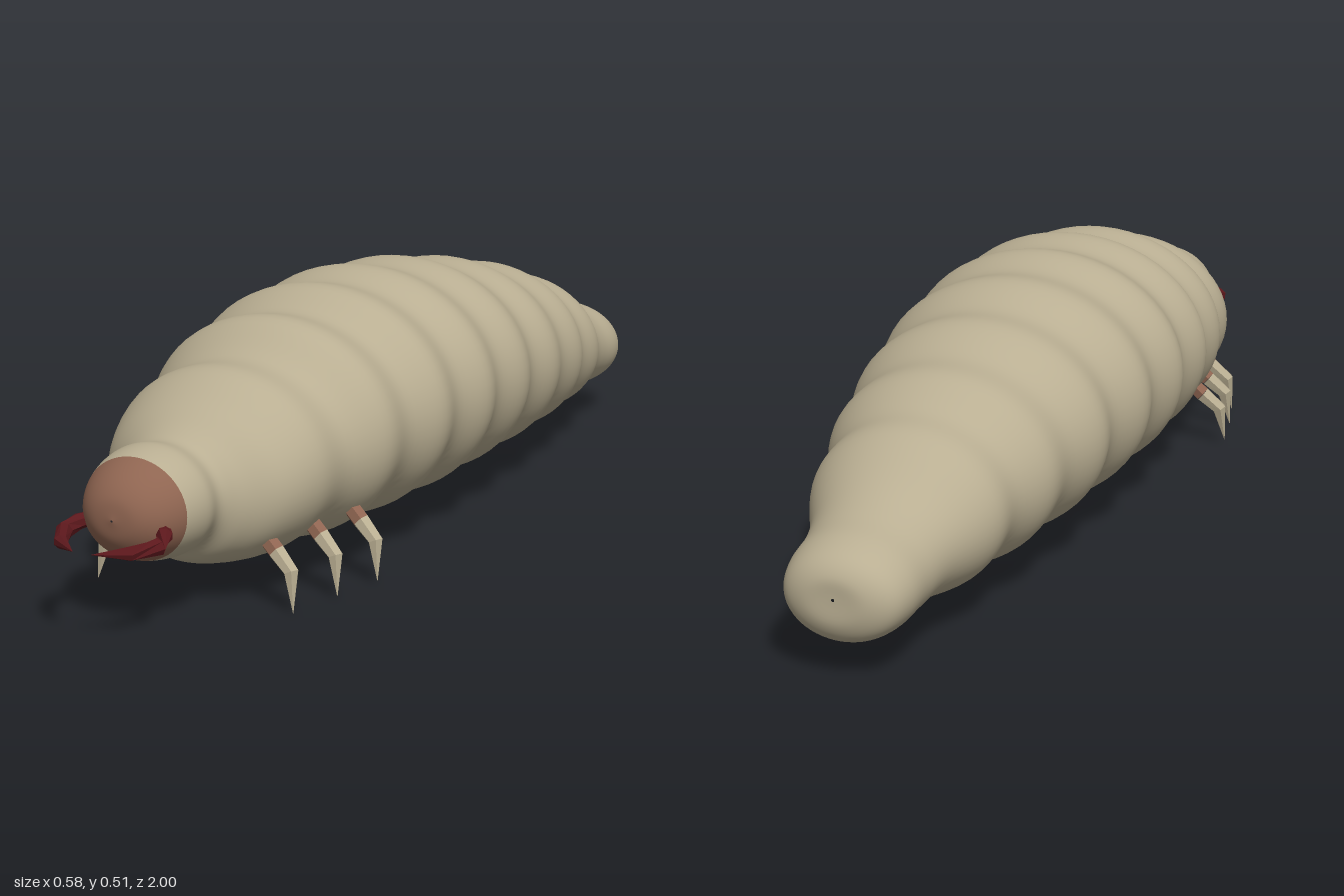
import * as THREE from 'three';

const skin = new THREE.MeshStandardMaterial({ color: 0xb9ae92 });
skin.name = 'pale skin';
const brown = new THREE.MeshStandardMaterial({ color: 0x8f6551 });
brown.name = 'head brown';
const darkRed = new THREE.MeshStandardMaterial({ color: 0x5c181c });
darkRed.name = 'mandible red';

// Segmented body outline from tail to head: z, half width, top, belly
const outline = [
  [-1.0, 0.003, 0.163, 0.157], [-0.998, 0.06, 0.2, 0.11], [-0.975, 0.102, 0.23, 0.075],
  [-0.93, 0.12, 0.25, 0.064], [-0.86, 0.125, 0.266, 0.066], [-0.79, 0.14, 0.295, 0.071],
  [-0.69, 0.184, 0.357, 0.056], [-0.605, 0.189, 0.375, 0.066],
  [-0.52, 0.224, 0.416, 0.05], [-0.43, 0.226, 0.425, 0.062],
  [-0.335, 0.257, 0.461, 0.047], [-0.245, 0.247, 0.463, 0.061],
  [-0.15, 0.279, 0.494, 0.045], [-0.06, 0.265, 0.488, 0.06],
  [0.03, 0.29, 0.507, 0.043], [0.115, 0.267, 0.488, 0.06],
  [0.205, 0.285, 0.499, 0.045], [0.29, 0.255, 0.463, 0.062],
  [0.38, 0.262, 0.468, 0.047], [0.47, 0.224, 0.413, 0.062],
  [0.56, 0.222, 0.408, 0.054], [0.64, 0.192, 0.365, 0.063], [0.695, 0.142, 0.328, 0.08],
  [0.73, 0.112, 0.313, 0.112], [0.78, 0.12, 0.32, 0.11], [0.833, 0.108, 0.308, 0.119],
  [0.875, 0.083, 0.282, 0.138], [0.9, 0.048, 0.25, 0.17], [0.908, 0.002, 0.212, 0.208],
];
const HEAD_ROW = 25;
const STEPS = 6;

// Skin a list of closed rings; each ring runs anticlockwise about the travel direction
function loft(rings) {
  const n = rings[0].length, index = [];
  for (let r = 0; r < rings.length - 1; r++) {
    for (let i = 0; i < n; i++) {
      const a = r * n + i, b = r * n + (i + 1) % n;
      index.push(a, b, a + n, b, b + n, a + n);
    }
  }
  const geometry = new THREE.BufferGeometry().setFromPoints(rings.flat());
  geometry.setIndex(index);
  geometry.computeVertexNormals();
  return geometry;
}

// Faceted tapering limb through a few points
function limb(points, radii, sides) {
  const up = new THREE.Vector3(0, 0.2, 1);
  const rings = points.map((p, k) => {
    const dir = points[Math.min(k + 1, points.length - 1)].clone()
      .sub(points[Math.max(k - 1, 0)]).normalize();
    const u = new THREE.Vector3().crossVectors(dir, up).normalize();
    const v = new THREE.Vector3().crossVectors(dir, u);
    return Array.from({ length: sides }, (_, i) => {
      const a = i / sides * Math.PI * 2;
      return p.clone().addScaledVector(u, Math.cos(a) * radii[k])
        .addScaledVector(v, Math.sin(a) * radii[k]);
    });
  });
  const geometry = loft(rings).toNonIndexed();
  geometry.computeVertexNormals();
  return geometry;
}

function bodyRings() {
  const curve = (pick) => new THREE.CatmullRomCurve3(outline.map(pick), false, 'catmullrom', 0.5);
  const upper = curve(([z, w, top]) => new THREE.Vector3(w, top, z));
  const lower = curve(([z, w, , low]) => new THREE.Vector3(w, low, z));
  const count = (outline.length - 1) * STEPS, sides = 56;
  return Array.from({ length: count + 1 }, (_, k) => {
    const a = upper.getPoint(k / count), b = lower.getPoint(k / count);
    return Array.from({ length: sides }, (_, i) => {
      const t = i / sides * Math.PI * 2;
      return new THREE.Vector3(Math.cos(t) * a.x,
        (a.y + b.y) / 2 + Math.sin(t) * (a.y - b.y) / 2, a.z);
    });
  });
}

export function createModel() {
  const group = new THREE.Group();
  const add = (name, geometry, material) => {
    const mesh = new THREE.Mesh(geometry, material);
    mesh.name = name;
    group.add(mesh);
  };

  // Body and the face at its front end
  const rings = bodyRings();
  add('segmentedBody', loft(rings.slice(0, HEAD_ROW * STEPS + 1)), skin);
  add('head', loft(rings.slice(HEAD_ROW * STEPS)), brown);

  // Hip x, y and z of the three leg pairs
  const hips = [['front', 0.155, 0.117, 0.63], ['middle', 0.183, 0.122, 0.52], ['rear', 0.205, 0.124, 0.41]];
  for (const side of [1, -1]) {
    const label = side > 0 ? 'Left' : 'Right';
    const at = (x, y, z) => new THREE.Vector3(side * x, y, z);

    for (const [name, x, y, z] of hips) {
      const collar = at(x + 0.012, y - 0.011, z + 0.002);
      add(name + label + 'Hip', limb([at(x - 0.02, y + 0.018, z - 0.003), collar], [0.017, 0.017], 6), brown);
      add(name + label + 'Leg', limb(
        [collar, at(x + 0.047, y - 0.042, z + 0.01), at(x + 0.057, y - 0.115, z + 0.021)],
        [0.017, 0.015, 0.0005], 6), skin);
    }

    // Hooked jaw curving inward to a point
    add('mandible' + label, limb(
      [at(0.07, 0.195, 0.85), at(0.09, 0.19, 0.878), at(0.099, 0.18, 0.91),
        at(0.073, 0.176, 0.958), at(0.02, 0.177, 0.998)],
      [0.012, 0.015, 0.016, 0.013, 0.0005], 7), darkRed);
  }
  return group;
}
